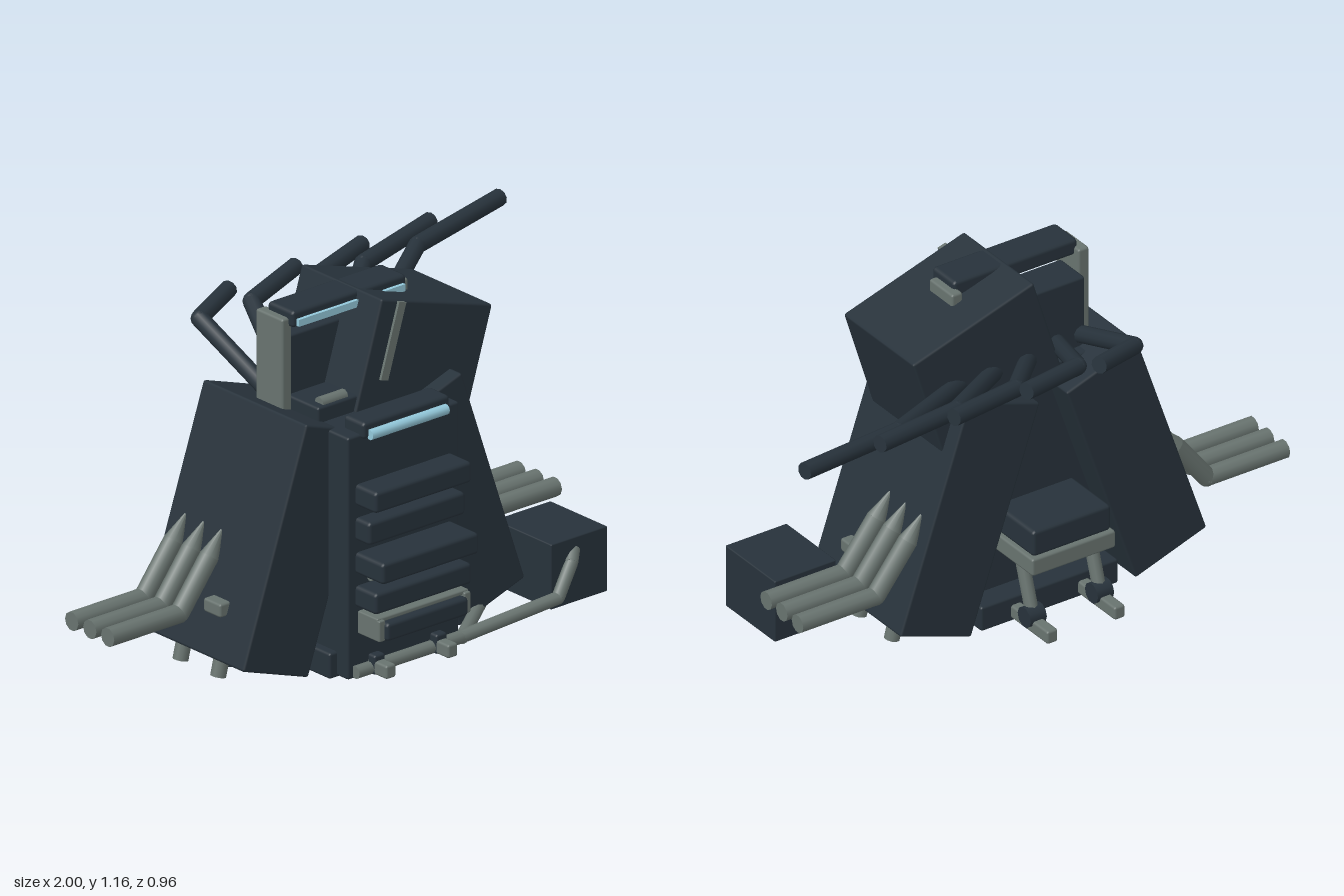
import * as THREE from 'three';
import { RoundedBoxGeometry } from 'three/addons/geometries/RoundedBoxGeometry.js';

const mat = (name, color) => {
  const m = new THREE.MeshStandardMaterial({ color });
  m.name = name;
  return m;
};

export function createModel() {
  const model = new THREE.Group();
  model.name = 'turret';
  const dark = mat('dark steel', 0x27323b);
  const grey = mat('grey metal', 0x68736f);
  const blue = mat('lamp blue', 0x93c8da);
  const MID = -0.095; // mirror plane of the hull

  const add = (name, geo, material, parent = model) => {
    const m = new THREE.Mesh(geo, material);
    m.name = name;
    parent.add(m);
    return m;
  };
  // Box given by its low and high corners, with a small bevel
  const box = (name, a, b, material, bevel = 0.008, parent = model) => {
    const s = b.map((v, i) => v - a[i]);
    const geo = bevel ? new RoundedBoxGeometry(...s, 1, bevel) : new THREE.BoxGeometry(...s);
    const m = add(name, geo, material, parent);
    m.position.set(...a.map((v, i) => (v + b[i]) / 2));
    return m;
  };
  // Straight rod between two points
  const rod = (name, a, b, r, material, r2 = r, parent = model) => {
    const p = new THREE.Vector3(...a), q = new THREE.Vector3(...b);
    const m = add(name, new THREE.CylinderGeometry(r2, r, p.distanceTo(q), 10), material, parent);
    m.position.copy(p).add(q).multiplyScalar(0.5);
    m.quaternion.setFromUnitVectors(new THREE.Vector3(0, 1, 0), q.sub(p).normalize());
    return m;
  };
  // Bent pipe: rods with rounded elbows
  const pipe = (name, pts, r, material) => {
    const g = new THREE.Group();
    g.name = name;
    model.add(g);
    pts.slice(1).forEach((p, i) => {
      rod('pipeSection', pts[i], p, r, material, r, g);
      if (i) add('elbow', new THREE.SphereGeometry(r, 10, 6), material, g).position.set(...pts[i]);
    });
    return g;
  };

  // Central hull
  box('hull', [-0.32, 0.02, -0.12], [0.13, 0.82, 0.35], dark);
  box('hullBase', [-0.35, 0.015, -0.2], [0.16, 0.1, 0.3], dark);
  box('basePad', [-0.2, 0, 0.15], [0.01, 0.04, 0.27], dark);

  // Leaning side towers, rocket pipes and studs
  for (const s of [-1, 1]) {
    const X = (d) => MID + s * d;
    const tower = add('sideTower', new RoundedBoxGeometry(0.28, 0.79, 0.48, 1, 0.008), dark);
    tower.position.set(X(0.31), 0.4425, 0.02);
    tower.rotation.z = s * 0.33;
    for (const z of [0.015, -0.068, -0.152]) {
      pipe('rocketPipe', [[X(0.905), 0.245, z], [X(0.615), 0.245, z], [X(0.495), 0.4, z]], 0.031, grey);
      rod('rocketTip', [X(0.495), 0.4, z], [X(0.435), 0.485, z], 0.031, grey, 0.001);
    }
    for (const z of [0.08, -0.095]) rod('towerStud', [X(0.515), 0.03, z], [X(0.49), 0.13, z], 0.025, grey);
    box('towerBracket', [X(0.5) - 0.05, 0.245, 0.05], [X(0.5) + 0.05, 0.29, 0.13], grey);
    rod('towerFoot', [X(0.4), 0.015, 0.01], [X(0.4), 0.1, 0.01], 0.022, dark);
  }

  // Front steps: [bottom, top, front]
  for (const [y0, y1, z] of [[0.59, 0.66, 0.445], [0.475, 0.55, 0.415], [0.365, 0.435, 0.478], [0.255, 0.325, 0.445]])
    box('frontStep', [-0.29, y0, 0.34], [0.1, y1, z], dark, 0.012);
  box('lowerStep', [-0.26, 0.165, 0.34], [0.07, 0.225, 0.465], dark, 0.012);
  for (const x of [-0.28, 0.065]) box('stepBracket', [x, 0.165, 0.34], [x + 0.025, 0.235, 0.45], grey, 0.005);
  box('stepBracketBack', [-0.28, 0.225, 0.34], [0.09, 0.24, 0.44], grey, 0.005);
  rod('looseRod', [-0.24, 0.345, 0.36], [0.05, 0.325, 0.36], 0.014, grey);

  // Front lamp
  box('lampHousing', [-0.27, 0.805, 0.27], [0.08, 0.86, 0.365], dark, 0.012);
  rod('frontLamp', [-0.25, 0.82, 0.37], [0.06, 0.82, 0.37], 0.017, blue);

  // Roof frame with lamp bar
  for (const x of [-0.35, 0.12]) box('framePost', [x, 0.7, -0.045], [x + 0.04, 1.135, 0.08], grey);
  box('frameBeam', [-0.325, 1.105, -0.02], [0.135, 1.16, 0.1], dark, 0.012);
  box('frameLamp', [-0.31, 1.112, 0.098], [0.12, 1.135, 0.112], blue, 0);
  box('gunBlock', [-0.31, 0.75, -0.08], [0.1, 1.06, 0.05], dark);
  box('roofStep', [-0.31, 0.8, 0.05], [-0.12, 0.87, 0.2], dark);
  rod('roofPin', [-0.28, 0.87, 0.17], [-0.18, 0.87, 0.17], 0.02, grey);

  // Tilted head
  const head = new THREE.Group();
  head.name = 'head';
  head.position.set(0.11, 0.92, 0.022);
  head.rotation.z = -0.3;
  model.add(head);
  box('headBox', [-0.235, -0.183, -0.187], [0.235, 0.183, 0.187], dark, 0.008, head);
  box('headStrip', [-0.168, -0.07, 0.18], [-0.138, 0.18, 0.196], grey, 0, head);

  // Fan of bent barrels: root, elbow and muzzle x
  for (const [a, b, c] of [[-0.3, -0.28, -0.1], [-0.24, -0.07, 0.17], [-0.18, 0.16, 0.44], [-0.11, 0.38, 0.715], [-0.03, 0.6, 0.995]])
    pipe('barrel', [[a, 0.83, 0], [b, 0.975, -0.385], [c, 1.002, -0.455]], 0.028, dark);

  // Rear seat, its struts and the ground rails
  box('seatFrame', [-0.25, 0.24, -0.33], [0.06, 0.3, -0.1], grey);
  box('seatPad', [-0.24, 0.3, -0.32], [0.05, 0.39, -0.1], dark, 0.012);
  for (const x of [MID - 0.125, MID + 0.125]) {
    rod('seatStrut', [x, 0.26, -0.225], [x, 0.08, -0.285], 0.022, grey);
    rod('strutJoint', [x - 0.03, 0.075, -0.285], [x + 0.03, 0.075, -0.285], 0.035, dark);
    box('groundRail', [x - 0.02, 0.027, -0.395], [x + 0.02, 0.072, 0.437], grey);
    box('railClamp', [x - 0.022, 0.025, 0.35], [x + 0.022, 0.09, 0.385], dark);
  }

  // Side supply box and its hoses
  box('supplyBox', [0.497, 0.03, 0.09], [0.725, 0.245, 0.355], dark, 0.004);
  pipe('frontHose', [[0.6, 0.2, 0.34], [0.57, 0.17, 0.365], [0.49, 0.085, 0.395], [0.13, 0.045, 0.36], [-0.3, 0.045, 0.36]], 0.021, grey);
  pipe('rearHose', [[0.58, 0.17, 0.12], [0.56, 0.15, 0.07], [0.49, 0.08, 0.11], [0.13, 0.04, 0.36]], 0.021, grey);

  return model;
}
